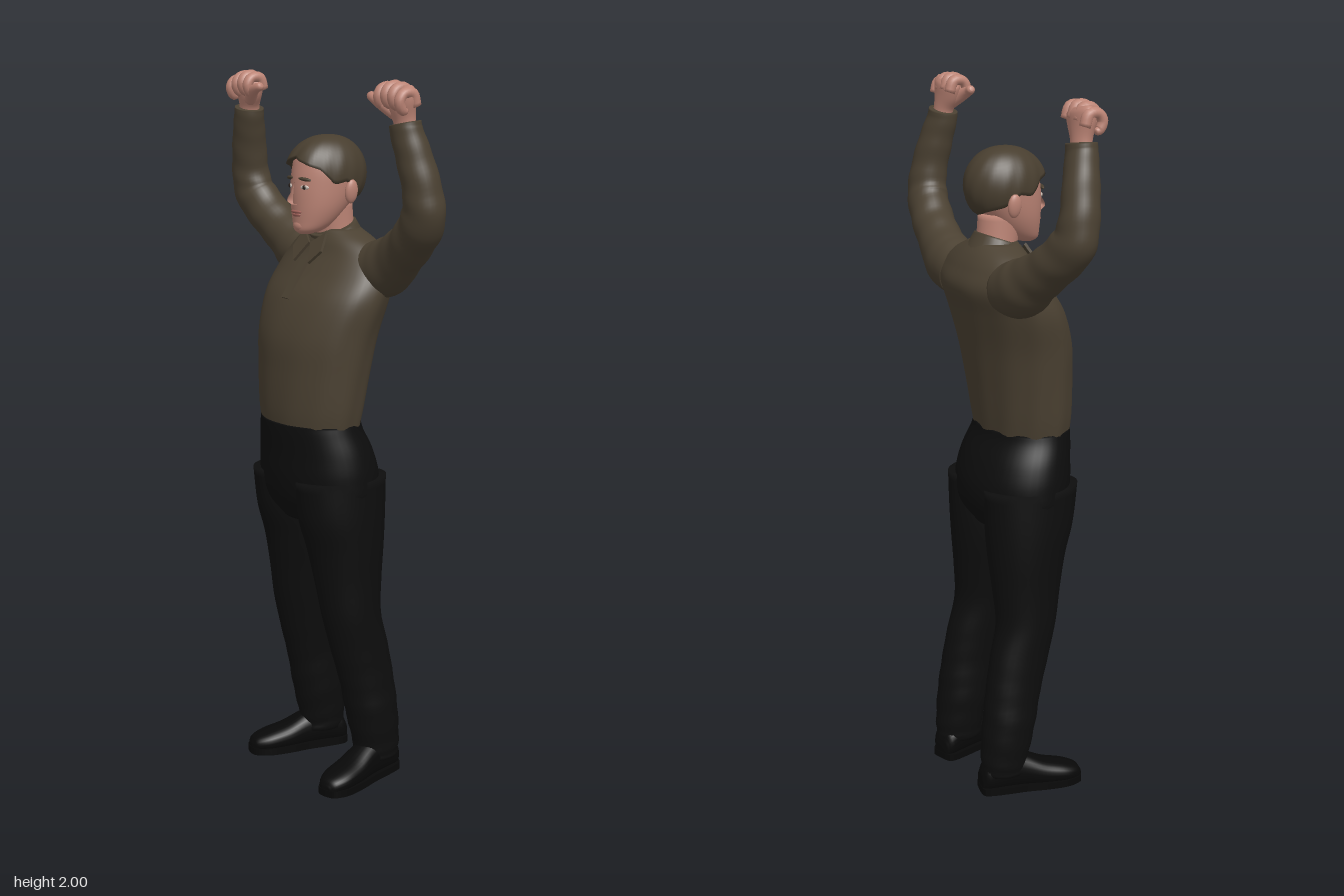
import * as THREE from 'three';

const mat = (name, color) => Object.assign(new THREE.MeshStandardMaterial({ color }), { name });
const V = (x, y, z) => new THREE.Vector3(x, y, z);

// Indexed grid of rows x n points, wrapped around each row
function grid(rows, n) {
  const pos = [], idx = [];
  rows.forEach(r => r.forEach(p => pos.push(p.x, p.y, p.z)));
  for (let i = 0; i < rows.length - 1; i++) for (let j = 0; j < n; j++) {
    const a = i * n + j, b = i * n + (j + 1) % n;
    idx.push(a, a + n, b, b, a + n, b + n);
  }
  const g = new THREE.BufferGeometry();
  g.setAttribute('position', new THREE.Float32BufferAttribute(pos, 3));
  g.setIndex(idx);
  g.computeVertexNormals();
  return g;
}

// Smooth closed skin over rings [x, y, z, a, b]; dir fixes the ring normal, otherwise it follows the path
function loft(rings, { n = 28, sub = 5, dir = null, ref = V(0, 0, 1), pow = 1, fold = () => 0 } = {}) {
  const path = new THREE.CatmullRomCurve3(rings.map(r => V(r[0], r[1], r[2])), false, 'catmullrom');
  const size = new THREE.CatmullRomCurve3(rings.map(r => V(r[3], r[4], 0)), false, 'catmullrom');
  const count = (rings.length - 1) * sub, rows = [];
  const sp = v => Math.sign(v) * Math.abs(v) ** pow;
  for (let i = 0; i <= count; i++) {
    const t = i / count, c = path.getPoint(t), s = size.getPoint(t);
    const T = dir || path.getTangent(t);
    const r = dir && dir.z ? V(0, -1, 0) : ref;
    const u = T.clone().cross(r).normalize(), w = u.clone().cross(T);
    const row = k => Array.from({ length: n }, (_, j) => {
      const q = j / n * Math.PI * 2, m = k * (1 + fold(q, t));
      return c.clone().addScaledVector(u, s.x * m * sp(Math.cos(q))).addScaledVector(w, s.y * m * sp(Math.sin(q)));
    });
    if (i === 0) rows.push(row(0));
    rows.push(row(1));
    if (i === count) rows.push(row(0));
  }
  return grid(rows, n);
}

// Hair shell: hairline angle from the crown varies around the head
function hairGeometry() {
  const line = [[0, 1.1], [0.35, 1.22], [0.9, 1.42], [1.25, 1.8], [1.6, 1.72], [1.95, 2.05], [3.15, 2.4]];
  const n = 72, rows = [], bump = (x, c, w) => Math.exp(-(((x - c) / w) ** 2));
  for (let i = 0; i <= 18; i++) rows.push(Array.from({ length: n }, (_, j) => {
    const q = j / n * Math.PI * 2, d = Math.abs(q > Math.PI ? q - Math.PI * 2 : q);
    const k = Math.max(1, line.findIndex(l => l[0] >= d));
    const [a, b] = [line[k - 1], line[k]];
    const end = THREE.MathUtils.lerp(a[1], b[1], (d - a[0]) / (b[0] - a[0]));
    const v = Math.max(0, (i - 1) / 17), phi = end * (1 - v);
    const lift = (i ? 1 : 0.84) + (1 - v) * (0.07 * bump(d, 0.45, 0.35) + 0.012 * Math.sin(q * 15 + phi * 4));
    const s = Math.sin(phi) ** 0.88 * lift;
    return V(0.094 * s * Math.sin(q), 1.735 + 0.104 * Math.cos(phi), -0.012 + 0.115 * s * Math.cos(q));
  }));
  return grid(rows, n);
}

export function createModel() {
  const model = new THREE.Group();
  const skin = mat('skin', 0xbd8576), shirt = mat('shirt', 0x4b4132), hair = mat('hair', 0x483e2f);
  const trousers = mat('trousers', 0x0d0d0d), leather = mat('shoe leather', 0x080808);
  const lip = mat('lips', 0xa0625a), white = mat('eye white', 0xc9bdb4), dark = mat('iris', 0x2a211b);
  hair.side = THREE.DoubleSide;
  const up = V(0, 1, 0), forward = V(0, 0, 1);
  const add = (name, geo, m, parent = model) => {
    const mesh = new THREE.Mesh(geo, m);
    mesh.name = name;
    parent.add(mesh);
    return mesh;
  };
  const blob = (name, m, p, r, rz = 0) => {
    const b = add(name, new THREE.SphereGeometry(1, 20, 14), m);
    b.position.set(...p);
    b.scale.set(...r);
    b.rotation.z = rz;
    return b;
  };

  // Shirt body, with soft vertical folds
  add('shirtBody', loft([
    [0, 1.035, 0.045, 0.168, 0.117], [0, 1.1, 0.042, 0.18, 0.125], [0, 1.2, 0.033, 0.192, 0.133],
    [0, 1.3, 0.02, 0.205, 0.14], [0, 1.4, -0.01, 0.222, 0.136], [0, 1.47, -0.043, 0.215, 0.122],
    [0, 1.52, -0.052, 0.185, 0.097], [0, 1.555, -0.05, 0.14, 0.08], [0, 1.585, -0.045, 0.075, 0.06],
  ], { n: 64, sub: 6, dir: up, fold: (q, t) => 0.012 * (1 - t) * Math.sin(11 * q + 5 * t) * (1 - 0.5 * Math.sin(q)) }), shirt);

  // Collar band, placket and collar flaps
  const band = add('collarBand', loft([[0, -0.01, 0, 0.088, 0.076], [0, 0.02, 0, 0.078, 0.07], [0, 0.042, 0, 0.07, 0.066]], { dir: up }), shirt);
  band.position.set(0, 1.55, -0.045);
  band.rotation.x = 0.35;
  const placket = add('placket', new THREE.BoxGeometry(0.03, 0.12, 0.012), shirt);
  placket.position.set(0, 1.45, 0.094);
  placket.rotation.x = -0.576;

  // Neck and head
  add('neck', loft([[0, 1.52, -0.05, 0.062, 0.062], [0, 1.58, -0.035, 0.056, 0.058], [0, 1.66, -0.02, 0.058, 0.065]], { dir: up }), skin);
  add('head', loft([
    [0, 1.574, 0.06, 0.018, 0.018], [0, 1.585, 0.048, 0.04, 0.042], [0, 1.61, 0.03, 0.058, 0.062],
    [0, 1.65, 0.012, 0.074, 0.082], [0, 1.7, -0.005, 0.084, 0.099], [0, 1.75, -0.012, 0.087, 0.1],
    [0, 1.79, -0.015, 0.076, 0.09], [0, 1.82, -0.015, 0.045, 0.05],
  ], { n: 40, dir: up }), skin);
  add('hair', hairGeometry(), hair);

  // Nose and mouth
  add('nose', loft([
    [0, 1.715, 0.088, 0.007, 0.008], [0, 1.69, 0.096, 0.009, 0.011], [0, 1.668, 0.102, 0.015, 0.016],
    [0, 1.656, 0.096, 0.012, 0.01],
  ], { n: 16, dir: up }), skin);
  blob('upperLip', lip, [0, 1.635, 0.091], [0.024, 0.005, 0.006]);
  blob('lowerLip', lip, [0, 1.627, 0.089], [0.02, 0.006, 0.007]);
  blob('chin', skin, [0, 1.597, 0.078], [0.024, 0.018, 0.016]);

  // Hips
  add('hips', loft([
    [0, 1.058, 0.045, 0.172, 0.12], [0, 1.03, 0.041, 0.178, 0.125], [0, 0.97, 0.025, 0.193, 0.139],
    [0, 0.9, 0.015, 0.2, 0.148], [0, 0.83, 0.012, 0.19, 0.137], [0, 0.775, 0.012, 0.11, 0.1],
  ].reverse(), { n: 48, dir: up }), trousers);

  for (const s of [1, -1]) {
    const side = s > 0 ? 'left' : 'right';
    const flip = rings => rings.map(([x, ...r]) => [x * s, ...r]);

    // Collar flap
    const pts = [[0.004, 0], [0.05, 0.035], [0.066, -0.02], [0.034, -0.06]].map(p => new THREE.Vector2(p[0] * s, p[1]));
    const flap = add(side + 'CollarFlap', new THREE.ExtrudeGeometry(new THREE.Shape(pts), { depth: 0.008, bevelEnabled: false }), shirt);
    flap.position.set(0, 1.545, 0.04);
    flap.rotation.x = -0.55;

    // Eye, brow and ear
    blob(side + 'EyeWhite', white, [s * 0.033, 1.703, 0.086], [0.014, 0.006, 0.004]).rotation.y = s * 0.35;
    blob(side + 'Iris', dark, [s * 0.033, 1.703, 0.088], [0.006, 0.006, 0.0035]);
    blob(side + 'Brow', hair, [s * 0.035, 1.725, 0.087], [0.021, 0.005, 0.006], s * -0.1).rotation.y = s * 0.35;
    blob(side + 'Ear', skin, [s * 0.088, 1.69, -0.03], [0.012, 0.033, 0.02], s * -0.12);

    // Sleeve, bent at the elbow, with crosswise creases
    add(side + 'Sleeve', loft(flip([
      [0.13, 1.475, -0.065, 0.075, 0.075], [0.2, 1.495, -0.068, 0.08, 0.072], [0.265, 1.535, -0.062, 0.068, 0.062],
      [0.335, 1.585, -0.05, 0.062, 0.06], [0.392, 1.645, -0.036, 0.064, 0.056], [0.402, 1.715, -0.026, 0.054, 0.052],
      [0.385, 1.8, -0.012, 0.049, 0.048], [0.367, 1.865, 0, 0.046, 0.042], [0.362, 1.892, 0.002, 0.044, 0.04],
    ]), { n: 32, sub: 7, fold: (q, t) => 0.022 * Math.sin(t * 55 + 2 * Math.cos(q)) * Math.sin(Math.PI * t) }), shirt);

    // Fist: palm, curled fingers and thumb
    const hand = new THREE.Group();
    hand.name = side + 'Hand';
    model.add(hand);
    add('palm', loft(flip([
      [0.364, 1.87, 0, 0.033, 0.027], [0.36, 1.9, 0.003, 0.035, 0.026], [0.353, 1.935, 0.008, 0.05, 0.029],
      [0.348, 1.965, 0.008, 0.055, 0.028], [0.345, 1.98, 0.008, 0.045, 0.02],
    ]), { n: 24 }), skin, hand);
    for (let i = 0; i < 4; i++) {
      const x = s * (0.392 - i * 0.029), d = [-0.014, -0.003, 0, -0.004][i];
      add('finger', loft([
        [x, 1.95 + d, -0.008, 0.015, 0.015], [x, 1.981 + d, 0.004, 0.016, 0.016], [x, 1.982 + d, 0.032, 0.014, 0.015],
        [x, 1.962 + d, 0.045, 0.014, 0.015], [x, 1.94 + d, 0.036, 0.013, 0.013], [x, 1.937 + d, 0.022, 0.008, 0.008],
      ], { n: 12, sub: 4, ref: V(1, 0, 0) }), skin, hand);
    }
    add('thumb', loft(flip([
      [0.335, 1.915, 0.015, 0.018, 0.018], [0.305, 1.937, 0.03, 0.018, 0.017], [0.277, 1.95, 0.036, 0.014, 0.014],
      [0.258, 1.957, 0.034, 0.012, 0.012], [0.251, 1.96, 0.033, 0.006, 0.006],
    ]), { n: 14 }), skin, hand);

    // Trouser leg
    add(side + 'Leg', loft(flip([
      [0.135, 0.055, -0.09, 0.054, 0.066], [0.135, 0.1, -0.09, 0.06, 0.071], [0.133, 0.2, -0.075, 0.067, 0.08],
      [0.13, 0.3, -0.058, 0.064, 0.085], [0.125, 0.4, -0.035, 0.067, 0.09], [0.12, 0.5, -0.011, 0.074, 0.09],
      [0.112, 0.6, -0.005, 0.083, 0.101], [0.105, 0.7, 0, 0.094, 0.116], [0.102, 0.79, 0.01, 0.099, 0.133],
      [0.103, 0.9, 0.015, 0.096, 0.142],
    ]), { n: 32, dir: up, fold: (q, t) => 0.025 * Math.max(0, 1 - 2 * t) * Math.sin(t * 75 + 2 * Math.sin(q + s)) }), trousers);

    // Shoe, toes turned out
    const shoe = new THREE.Group();
    shoe.name = side + 'Shoe';
    shoe.position.set(s * 0.155, 0, -0.016);
    shoe.rotation.y = s * 0.25;
    model.add(shoe);
    const profile = [[-0.15, 0.026, 0.05], [-0.13, 0.041, 0.085], [-0.07, 0.044, 0.115], [-0.02, 0.044, 0.1],
      [0.04, 0.049, 0.072], [0.1, 0.048, 0.056], [0.138, 0.033, 0.042], [0.152, 0.014, 0.024]];
    add('upper', loft(profile.map(([z, w, h]) => [0, h / 2 + 0.006, z, w, h / 2]), { n: 28, dir: forward, pow: 0.8 }), leather, shoe);
    const outline = new THREE.Shape();
    const edge = profile.map(([z, w]) => new THREE.Vector2(w + 0.003, -z));
    outline.setFromPoints(new THREE.SplineCurve([...edge, ...edge.map(p => new THREE.Vector2(-p.x, p.y)).reverse(), edge[0]]).getPoints(64).slice(0, -1));
    const sole = add('sole', new THREE.ExtrudeGeometry(outline, { depth: 0.02, bevelEnabled: false }), leather, shoe);
    sole.rotation.x = -Math.PI / 2;
  }
  return model;
}
